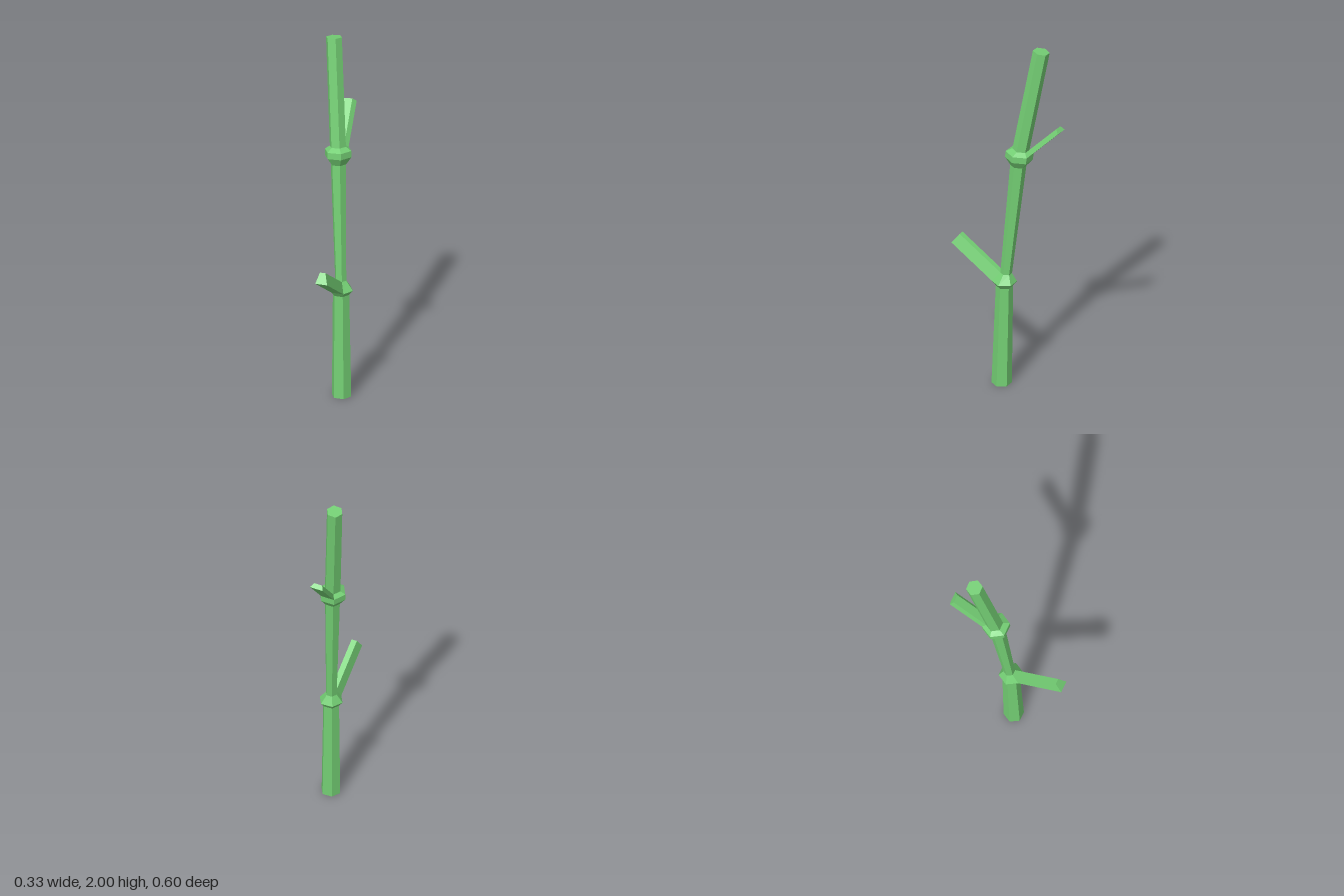
import * as THREE from 'three';

const SIDES = 6;
const AXIS_X = 0.024;

// Stalk cross-sections: height, z of centre, radius, tilt (front edge higher)
const RINGS = [
  [0, 0.033, 0.054, 0],
  [0.585, 0.018, 0.046, 0],
  [0.61, 0.018, 0.066, 0],
  [0.66, 0.009, 0.031, 0.05],
  [1.31, -0.055, 0.043, 0.08],
  [1.352, -0.059, 0.074, 0.1],
  [1.387, -0.062, 0.074, 0.1],
  [1.405, -0.069, 0.045, 0.12],
  [1.993, -0.177, 0.0445, 0.17],
];

// Each branch grows out of one sloping facet of a node
const BRANCHES = [
  { name: 'lowerBranch', ring: 2, side: 5, grow: [-0.131, 0.161, 0.216] },
  { name: 'upperBranch', ring: 6, side: 2, grow: [0.076, 0.186, -0.165] },
];

// Hexagon corner, counted anticlockwise from the front as seen from above
function corner(ring, k) {
  const [y, z, r, tilt] = RINGS[ring];
  const a = ((k % SIDES) * Math.PI * 2) / SIDES;
  const dz = r * Math.cos(a);
  return new THREE.Vector3(AXIS_X + r * Math.sin(a), y + tilt * dz, z + dz);
}

const facet = (ring, k) => [
  corner(ring, k), corner(ring, k + 1), corner(ring + 1, k + 1), corner(ring + 1, k),
];

// Flat-shaded mesh from convex polygons
function polyMesh(name, polygons, material) {
  const points = [];
  for (const p of polygons) {
    for (let i = 1; i < p.length - 1; i++) points.push(p[0], p[i], p[i + 1]);
  }
  const geometry = new THREE.BufferGeometry().setFromPoints(points);
  geometry.computeVertexNormals();
  const mesh = new THREE.Mesh(geometry, material);
  mesh.name = name;
  return mesh;
}

// Band of the stalk between two rings, open where a branch joins
function stalkPart(name, from, to, material) {
  const polygons = [];
  for (let ring = from; ring < to; ring++) {
    for (let k = 0; k < SIDES; k++) {
      if (!BRANCHES.some((b) => b.ring === ring && b.side === k)) polygons.push(facet(ring, k));
    }
  }
  const outline = (ring) => Array.from({ length: SIDES }, (_, k) => corner(ring, k));
  if (from === 0) polygons.push(outline(0).reverse());
  if (to === RINGS.length - 1) polygons.push(outline(to));
  return polyMesh(name, polygons, material);
}

// Straight branch extruded from its facet
function branch({ name, ring, side, grow }, material) {
  const root = facet(ring, side);
  const tip = root.map((p) => p.clone().add(new THREE.Vector3(...grow)));
  const polygons = root.map((p, i) => {
    const j = (i + 1) % root.length;
    return [p, root[j], tip[j], tip[i]];
  });
  return polyMesh(name, [...polygons, tip], material);
}

export function createModel() {
  const group = new THREE.Group();
  group.name = 'branchingStalk';
  const green = new THREE.MeshStandardMaterial({ color: 0x74cf74, flatShading: true });

  group.add(
    stalkPart('lowerStalk', 0, 1, green),
    stalkPart('lowerNode', 1, 3, green),
    stalkPart('middleStalk', 3, 4, green),
    stalkPart('upperNode', 4, 7, green),
    stalkPart('upperStalk', 7, 8, green),
    ...BRANCHES.map((b) => branch(b, green)),
  );
  return group;
}
